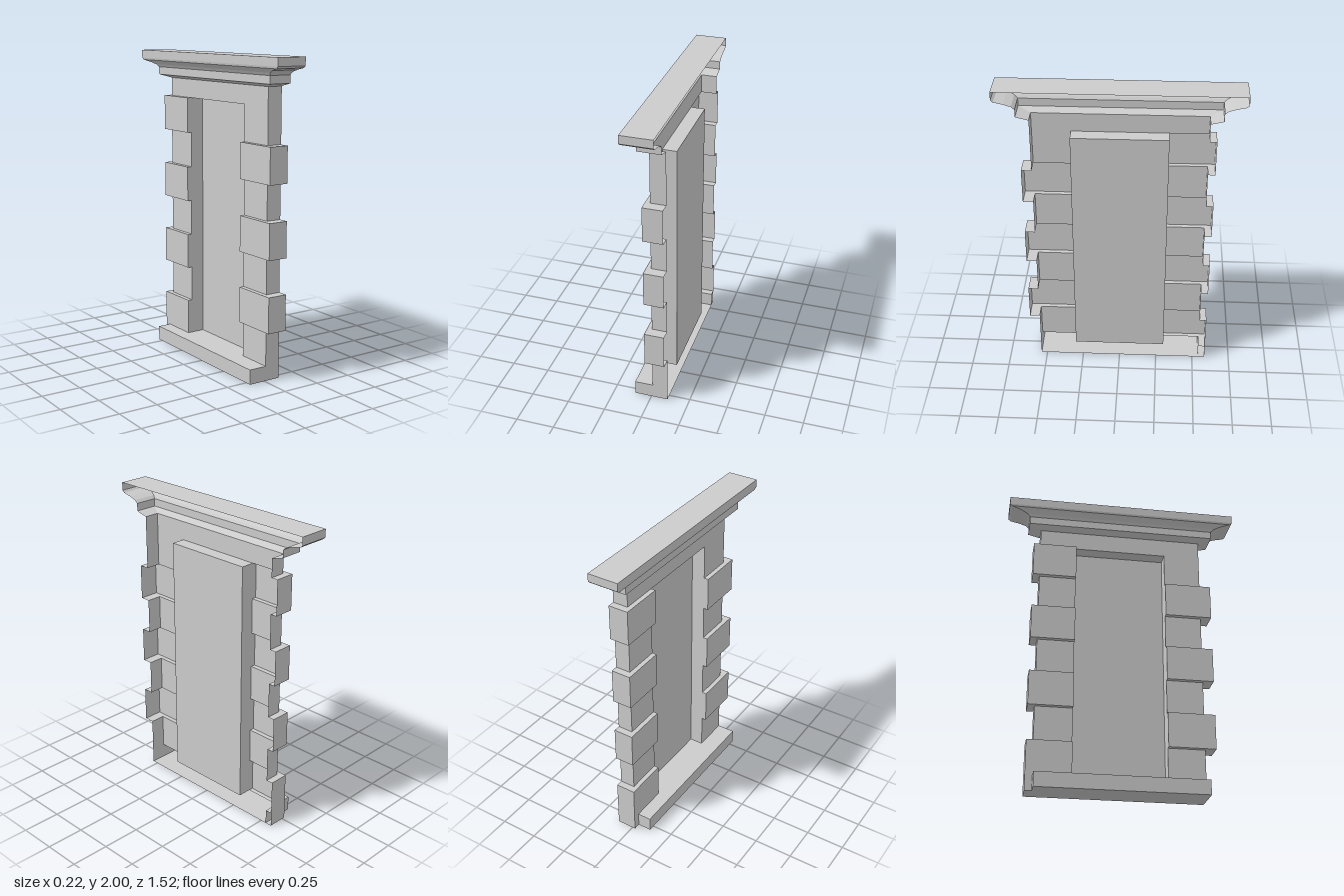
import * as THREE from 'three';

const material = new THREE.MeshStandardMaterial({ color: 0xcccccc, side: THREE.DoubleSide });

// Planes of the relief; the shell is open towards +x
const BACK = 0.11, PANEL = 0.1, WALL = 0.01, STONE = -0.02, PLINTH = -0.11;
const END = 0.54, JAMB = 0.3, BASE_TOP = 0.095, PANEL_TOP = 1.7, WALL_TOP = 1.82;
const SIDES = ['+x', '-x', '+y', '-y', '+z', '-z'];

function addMesh(parent, name, geometry) {
  const mesh = new THREE.Mesh(geometry, material);
  mesh.name = name;
  parent.add(mesh);
}

// Box between two planes on each axis, keeping only the listed sides
function shell(parent, name, [x0, x1], [y0, y1], [za, zb], keep) {
  const z0 = Math.min(za, zb), z1 = Math.max(za, zb);
  const g = new THREE.BoxGeometry(x1 - x0, y1 - y0, z1 - z0);
  const all = Array.from(g.index.array);
  g.setIndex(keep.flatMap((s) => all.slice(SIDES.indexOf(s) * 6, SIDES.indexOf(s) * 6 + 6)));
  g.clearGroups();
  g.translate((x0 + x1) / 2, (y0 + y1) / 2, (z0 + z1) / 2);
  addMesh(parent, name, g);
}

// Moulding mitred around the front and both ends; profile points are [x, halfLength, y]
function corniceGeometry(profile) {
  const pos = [];
  const quad = (a, b, c, d) => pos.push(...a, ...b, ...c, ...a, ...c, ...d);
  const rings = profile.map(([x, z, y]) => [[BACK, y, z], [x, y, z], [x, y, -z], [BACK, y, -z]]);
  for (let i = 0; i < rings.length - 1; i++) {
    for (let c = 0; c < 3; c++) quad(rings[i][c], rings[i + 1][c], rings[i + 1][c + 1], rings[i][c + 1]);
  }
  const top = rings[rings.length - 1];
  quad(top[0], top[3], top[2], top[1]);
  const g = new THREE.BufferGeometry();
  g.setAttribute('position', new THREE.Float32BufferAttribute(pos, 3));
  g.computeVertexNormals();
  return g;
}

// One column of alternating long and short stones; s is the side along z
function quoinColumn(s, reach, longFirst) {
  const column = new THREE.Group();
  column.name = s > 0 ? 'frontQuoins' : 'backQuoins';
  const outer = s > 0 ? '+z' : '-z', inner = s > 0 ? '-z' : '+z';
  const count = 7, step = (PANEL_TOP - BASE_TOP) / count;
  for (let i = 0; i < count; i++) {
    const y = [BASE_TOP + i * step, BASE_TOP + (i + 1) * step];
    const long = (i % 2 === 0) === longFirst;
    if (long) {
      shell(column, 'longStone', [STONE, WALL], y, [s * JAMB, s * reach], ['-x', '+y', '-y', outer, inner]);
      shell(column, 'longStoneReturn', [WALL, BACK], y, [s * END, s * reach], ['+y', '-y', outer]);
    } else {
      shell(column, 'shortStone', [WALL, BACK], y, [s * JAMB, s * END], ['-x', outer]);
    }
    shell(column, 'jamb', [WALL, PANEL], y, [s * JAMB, s * END], [inner]);
  }
  return column;
}

export function createModel() {
  const model = new THREE.Group();
  model.name = 'wallPier';

  // Plinth with its ledge in front of the wall
  const full = [-END, END];
  shell(model, 'plinth', [PLINTH, BACK], [0, BASE_TOP], full, ['-x', '-y', '+z', '-z']);
  shell(model, 'plinthLedge', [PLINTH, WALL], [0, BASE_TOP], full, ['+y']);
  shell(model, 'plinthReturn', [STONE, BACK], [0, BASE_TOP], [-END, -0.585], ['-x', '-y', '-z']);

  // Sunken panel and the wall band above it
  shell(model, 'panelBack', [WALL, PANEL], [BASE_TOP, PANEL_TOP], [-JAMB, JAMB], ['+x']);
  shell(model, 'panelReveal', [WALL, PANEL], [BASE_TOP, PANEL_TOP], [-JAMB, JAMB], ['+y', '-y']);
  shell(model, 'upperWall', [WALL, BACK], [PANEL_TOP, WALL_TOP], full, ['-x', '+z', '-z']);

  // Interlocking corner stones
  model.add(quoinColumn(1, 0.605, false), quoinColumn(-1, 0.585, true));

  // Cornice
  addMesh(model, 'cornice', corniceGeometry([
    [WALL, 0.54, 1.82], [-0.04, 0.62, 1.84], [-0.04, 0.62, 1.89], [-0.052, 0.64, 1.907],
    [-0.07, 0.685, 1.922], [-0.087, 0.745, 1.935], [-0.09, 0.76, 1.948], [-0.09, 0.76, 2],
  ]));
  return model;
}
